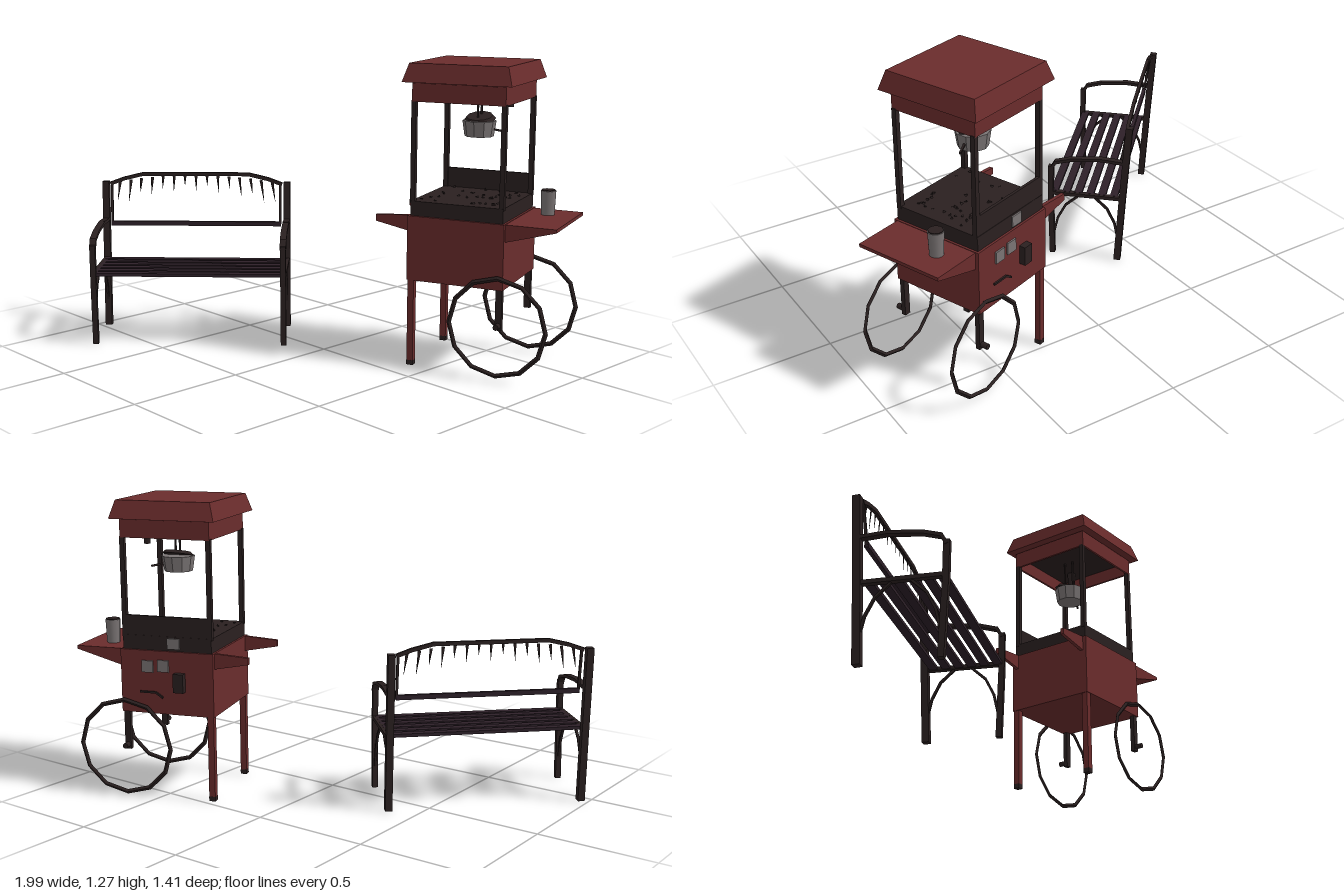
import * as THREE from 'three';

const mat = (name, color) => {
  const m = new THREE.MeshStandardMaterial({ color });
  m.name = name;
  return m;
};
const red = mat('dark red paint', 0x6a2c2c);
const iron = mat('dark iron', 0x2a2020);
const wood = mat('dark wood', 0x2d2028);
const steel = mat('dull steel', 0x7a7474);

const flat = (g) => {
  const n = g.index ? g.toNonIndexed() : g;
  n.computeVertexNormals();
  return n;
};

function add(parent, name, geo, material, x = 0, y = 0, z = 0) {
  const mesh = new THREE.Mesh(geo, material);
  mesh.name = name;
  mesh.position.set(x, y, z);
  parent.add(mesh);
  return mesh;
}

const box = (parent, name, material, w, h, d, x, y, z) =>
  add(parent, name, new THREE.BoxGeometry(w, h, d), material, x, y, z);

// Straight bars joined along a list of points
function bars(parent, name, material, pts, w, h = w) {
  const group = new THREE.Group();
  group.name = name;
  for (let i = 1; i < pts.length; i++) {
    const a = new THREE.Vector3(...pts[i - 1]), b = new THREE.Vector3(...pts[i]);
    const bar = box(group, name, material, w, h, a.distanceTo(b) + h * 0.4, 0, 0, 0);
    bar.position.copy(a).lerp(b, 0.5);
    bar.lookAt(b);
  }
  parent.add(group);
  return group;
}

// Side profile in x and y, given a thickness in z
function plate(parent, name, material, pts, depth, z) {
  const shape = new THREE.Shape(pts.map((p) => new THREE.Vector2(...p)));
  const geo = new THREE.ExtrudeGeometry(shape, { depth, bevelEnabled: false });
  geo.translate(0, 0, -depth / 2);
  return add(parent, name, geo, material, 0, 0, z);
}

function createBench() {
  const bench = new THREE.Group();
  bench.name = 'bench';

  for (const x of [-0.415, 0.415]) {
    // Leaning back post, front leg and curved armrest
    bars(bench, 'backPost', iron, [[x, 0.012, -0.14], [x, 0.32, -0.155], [x, 0.67, -0.175]], 0.03);
    bars(bench, 'frontLeg', iron, [[x, 0.012, 0.16], [x, 0.3, 0.17], [x, 0.45, 0.17]], 0.024);
    bars(bench, 'armrest', iron,
      [[x, 0.5, -0.17], [x, 0.508, -0.05], [x, 0.495, 0.08], [x, 0.475, 0.15], [x, 0.44, 0.17]], 0.028, 0.014);
    bars(bench, 'seatSideRail', iron, [[x, 0.32, -0.15], [x, 0.32, 0.165]], 0.024, 0.016);
    // Curved braces below the seat
    for (const s of [-1, 1]) {
      const c = s > 0 ? 0.157 : 0.142;
      bars(bench, 'legBrace', iron,
        [[x, 0.1, s * c], [x, 0.19, s * (c - 0.02)], [x, 0.26, s * (c - 0.055)], [x, 0.31, s * (c - 0.11)]], 0.01);
    }
  }

  // Seat slats
  for (let i = 0; i < 6; i++)
    box(bench, 'seatSlat', wood, 0.83, 0.014, 0.034, 0, 0.322, -0.115 + i * 0.054);

  // Backrest frame
  bars(bench, 'backrestTopRail', iron,
    [[-0.39, 0.668, -0.165], [-0.33, 0.69, -0.167], [-0.24, 0.712, -0.168], [0.24, 0.712, -0.168],
      [0.33, 0.69, -0.167], [0.39, 0.668, -0.165]], 0.014, 0.016);
  bars(bench, 'backrestBottomRail', wood, [[-0.385, 0.488, -0.14], [0.385, 0.488, -0.14]], 0.016, 0.02);
  for (const s of [-1, 1])
    bars(bench, 'backrestSide', iron, [[s * 0.385, 0.668, -0.163], [s * 0.385, 0.49, -0.14]], 0.01);

  // Thin pointed ornaments hanging from the top rail
  for (let i = 0; i < 15; i++) {
    const t = (i - 7) / 7;
    const len = 0.05 + 0.045 * t * t + (i % 2) * 0.025;
    const spike = add(bench, 'backrestSpike', new THREE.ConeGeometry(0.007, len, 4), iron,
      t * 0.355, 0.708 - 0.03 * t * t - len / 2, -0.163);
    spike.rotation.set(Math.PI, 0, -t * 0.15);
    spike.scale.z = 0.5;
  }

  bench.position.set(-0.57, 0, 0.27);
  bench.rotation.y = Math.PI / 4;
  return bench;
}

function createCart() {
  const cart = new THREE.Group();
  cart.name = 'popcornCart';

  // Red body with dark tray on top
  box(cart, 'body', red, 0.414, 0.27, 0.414, 0, 0.513, 0);
  box(cart, 'tray', iron, 0.395, 0.062, 0.395, 0, 0.678, 0);
  box(cart, 'backPanel', iron, 0.39, 0.085, 0.012, 0, 0.75, -0.19);

  // Loose crumbs on the tray
  let seed = 7;
  const rnd = () => (seed = (seed * 16807) % 2147483647) / 2147483647;
  for (let i = 0; i < 40; i++)
    add(cart, 'crumb', new THREE.TetrahedronGeometry(0.009), iron,
      (rnd() - 0.5) * 0.34, 0.71, (rnd() - 0.5) * 0.34).rotation.set(rnd() * 3, rnd() * 3, 0);

  for (const s of [-1, 1]) {
    // Red legs on one end, wheels on the other
    box(cart, 'leg', red, 0.027, 0.36, 0.027, -0.19, 0.21, s * 0.19);
    box(cart, 'legTip', iron, 0.028, 0.02, 0.028, -0.19, 0.022, s * 0.19);
    box(cart, 'wheelStrut', iron, 0.027, 0.17, 0.02, 0.19, 0.295, s * 0.19);
    const rim = add(cart, 'wheelRim', flat(new THREE.TorusGeometry(0.203, 0.01, 4, 12)), iron, 0.19, 0.228, s * 0.22);
    rim.scale.z = 0.8;
    const hub = add(cart, 'wheelHub', new THREE.CylinderGeometry(0.012, 0.012, 0.04, 8), iron, 0.19, 0.23, s * 0.21);
    hub.rotation.x = Math.PI / 2;
    // Tapered push handles
    plate(cart, 'handle', red, [[-0.2, 0.58], [-0.2, 0.648], [-0.355, 0.638], [-0.355, 0.61]].reverse(), 0.016, s * 0.182);
    // Corner posts
    for (const x of [-0.19, 0.19])
      box(cart, 'cornerPost', iron, 0.02, 0.42, 0.02, x, 0.91, s * 0.186);
  }

  // Side shelf with tapered underside, and a cup on it
  plate(cart, 'shelf', red, [[0.2, 0.572], [0.415, 0.632], [0.415, 0.646], [0.2, 0.646]], 0.385, 0);
  add(cart, 'cup', new THREE.CylinderGeometry(0.032, 0.028, 0.1, 12), steel, 0.297, 0.696, -0.084);
  add(cart, 'cupOpening', new THREE.CylinderGeometry(0.029, 0.029, 0.006, 12), iron, 0.297, 0.747, -0.084);

  // Fittings on the back face
  box(cart, 'backPlate', steel, 0.05, 0.05, 0.008, 0.085, 0.58, -0.21);
  box(cart, 'backPlate', steel, 0.05, 0.05, 0.008, 0.015, 0.585, -0.21);
  box(cart, 'trayPlate', steel, 0.055, 0.045, 0.008, -0.03, 0.68, -0.2);
  box(cart, 'backBox', iron, 0.045, 0.08, 0.03, -0.06, 0.52, -0.22);
  bars(cart, 'backLatch', iron, [[0.12, 0.47, -0.21], [0.05, 0.47, -0.21], [0.02, 0.45, -0.21]], 0.008);

  // Roof: hollow band, dark ceiling and flared cap
  for (const s of [-1, 1]) {
    box(cart, 'roofBand', red, 0.394, 0.075, 0.01, 0, 1.153, s * 0.192);
    box(cart, 'roofBand', red, 0.01, 0.075, 0.394, s * 0.192, 1.153, 0);
  }
  box(cart, 'ceiling', iron, 0.375, 0.008, 0.375, 0, 1.18, 0);
  const cap = new THREE.CylinderGeometry(0.207 * Math.SQRT2, 0.23 * Math.SQRT2, 0.076, 4);
  cap.rotateY(Math.PI / 4);
  add(cart, 'roofCap', flat(cap), red, 0, 1.233, 0);

  // Hanging kettle with tilted lid
  add(cart, 'kettle', flat(new THREE.CylinderGeometry(0.07, 0.06, 0.065, 10)), steel, 0.01, 0.993, -0.03);
  const lid = add(cart, 'kettleLid', new THREE.CylinderGeometry(0.055, 0.066, 0.014, 10), iron, 0.01, 1.037, -0.035);
  lid.rotation.x = 0.25;
  for (const z of [-0.055, -0.01])
    box(cart, 'kettleRod', iron, 0.007, 0.14, 0.007, 0.01, 1.11, z);
  bars(cart, 'kettleHandle', iron, [[0.07, 0.99, -0.04], [0.12, 0.98, -0.06]], 0.008);
  add(cart, 'lamp', new THREE.CylinderGeometry(0.02, 0.014, 0.1, 8), iron, 0.12, 1.13, -0.095);

  cart.position.set(0.522, 0, -0.357);
  cart.rotation.y = THREE.MathUtils.degToRad(20);
  return cart;
}

export function createModel() {
  const model = new THREE.Group();
  model.name = 'benchAndPopcornCart';
  model.add(createBench(), createCart());
  model.position.y = -0.012;
  return model;
}
